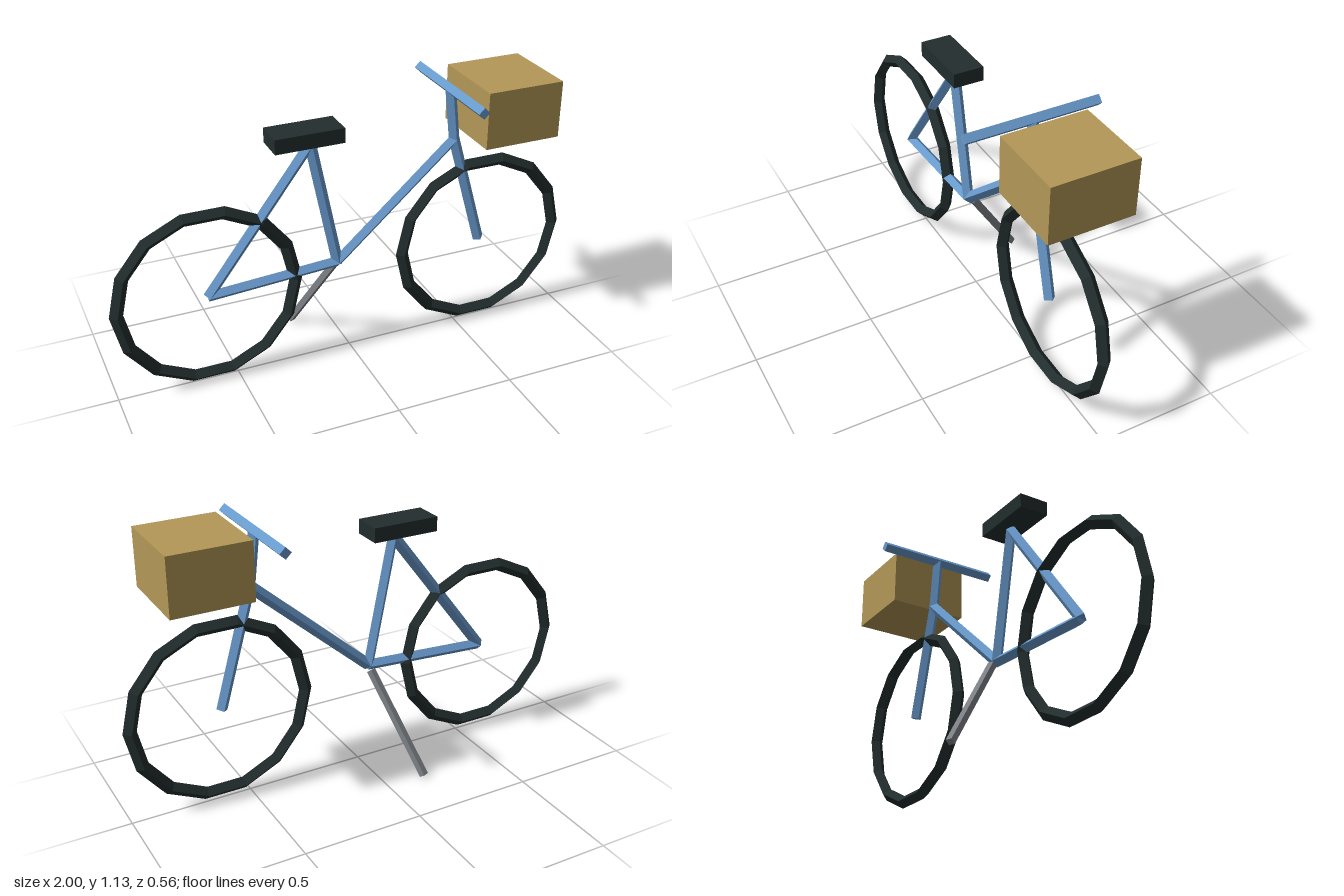
import * as THREE from 'three';

const mat = (name, color) => {
  const m = new THREE.MeshStandardMaterial({ color, flatShading: true });
  m.name = name;
  return m;
};

export function createModel() {
  const bike = new THREE.Group();
  bike.name = 'bicycle';
  const blue = mat('frame blue', 0x6899cc);
  const dark = mat('rubber dark', 0x222d2d);
  const tan = mat('basket tan', 0xb39756);
  const grey = mat('stand grey', 0x7f8388);
  const Z = 0.007; // centre plane of the bike

  const add = (name, geometry, material, x, y, z) => {
    const mesh = new THREE.Mesh(geometry, material);
    mesh.name = name;
    mesh.position.set(x, y, z);
    bike.add(mesh);
    return mesh;
  };

  // Four-sided tube between two points
  const tube = (name, a, b, r = 0.0238) => {
    const p = new THREE.Vector3(...a), q = new THREE.Vector3(...b);
    const mid = p.clone().add(q).multiplyScalar(0.5);
    const mesh = add(name, new THREE.CylinderGeometry(r, r, p.distanceTo(q), 4), blue, mid.x, mid.y, mid.z);
    mesh.quaternion.setFromUnitVectors(new THREE.Vector3(0, 1, 0), q.sub(p).normalize());
  };

  // Wheels
  for (const [name, x] of [['rearWheel', -0.605], ['frontWheel', 0.605]]) {
    add(name, new THREE.TorusGeometry(0.367, 0.0278, 4, 14), dark, x, 0.395, Z);
  }

  // Frame joints
  const axleRear = [-0.605, 0.395, Z], axleFront = [0.6, 0.395, Z];
  const crank = [-0.055, 0.428, Z], seatTop = [-0.165, 0.975, Z];
  const head = [0.46, 0.885, Z], barMid = [0.434, 1.104, Z];
  tube('chainStay', axleRear, crank);
  tube('seatStay', axleRear, seatTop);
  tube('seatTube', crank, seatTop);
  tube('downTube', crank, head);
  tube('fork', axleFront, head);
  tube('stem', head, barMid);
  tube('handlebar', [0.434, 1.104, Z - 0.272], [0.434, 1.104, Z + 0.272]);

  // Seat and basket
  add('seat', new THREE.BoxGeometry(0.284, 0.061, 0.128), dark, -0.188, 1.015, Z);
  add('basket', new THREE.BoxGeometry(0.328, 0.237, 0.348), tan, 0.675, 1.017, Z);

  // Kickstand leaning out to the right
  const top = new THREE.Vector3(-0.055, 0.412, -0.015);
  const foot = new THREE.Vector3(-0.166, 0.009, -0.268);
  const mid = top.clone().add(foot).multiplyScalar(0.5);
  const stand = add('kickstand', new THREE.BoxGeometry(0.026, 0.026, top.distanceTo(foot)), grey, mid.x, mid.y, mid.z);
  stand.lookAt(foot);

  return bike;
}
